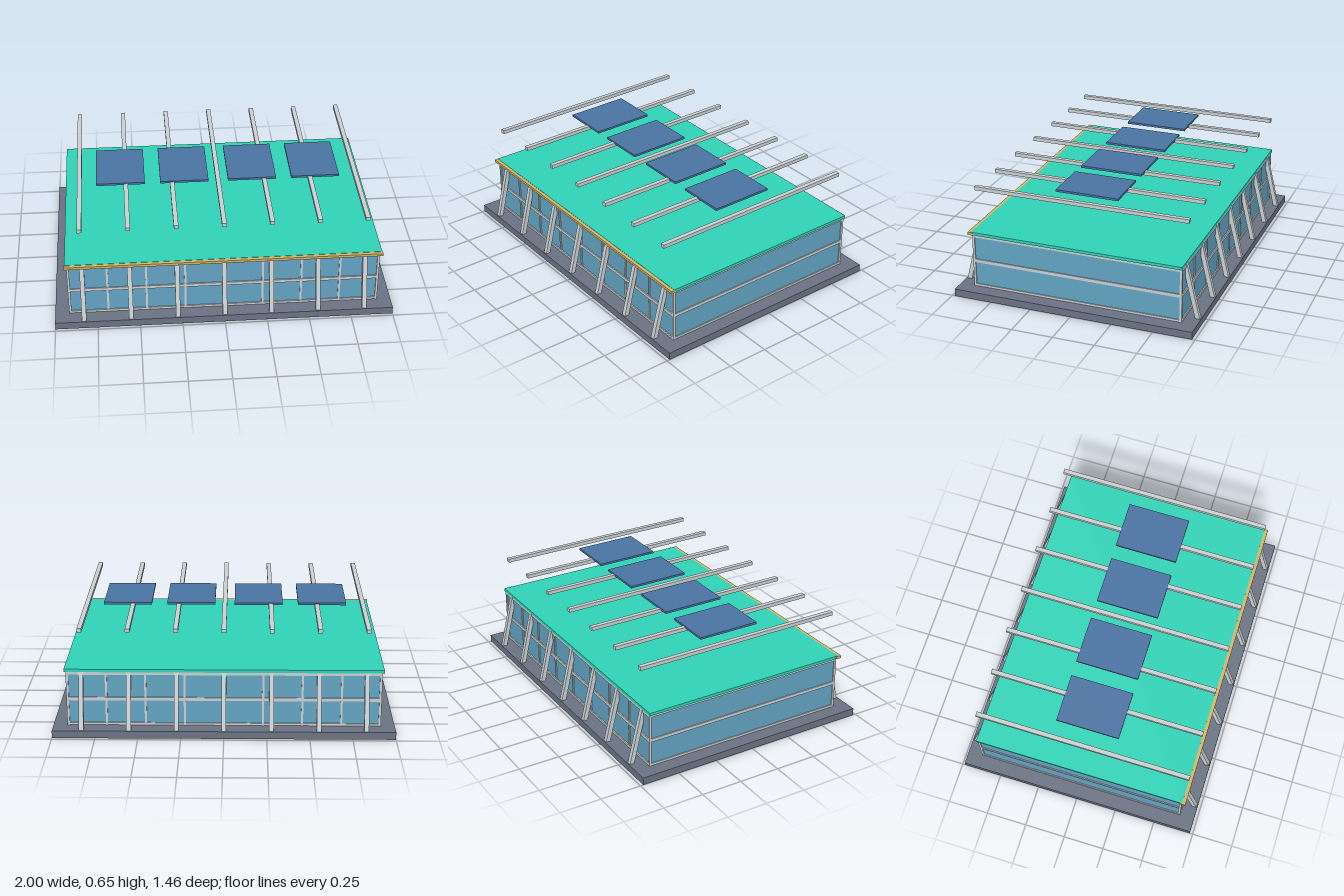
import * as THREE from 'three';

export function createModel() {
  const model = new THREE.Group();
  model.name = 'pavilion';

  const mat = (name, color) => {
    const m = new THREE.MeshStandardMaterial({ color });
    m.name = name;
    return m;
  };
  const slate = mat('slate', 0x6a7283);
  const glass = mat('glass', 0x62a2c1);
  const metal = mat('light metal', 0xc8ced1);
  const teal = mat('teal roof', 0x2fd2b6);
  const gold = mat('gold trim', 0xd0b466);
  const navy = mat('solar blue', 0x4a72a1);

  // Box given by its size and centre
  const box = (name, material, w, h, d, x, y, z, parent = model) => {
    const mesh = new THREE.Mesh(new THREE.BoxGeometry(w, h, d), material);
    mesh.name = name;
    mesh.position.set(x, y, z);
    parent.add(mesh);
    return mesh;
  };
  const group = (name) => {
    const g = new THREE.Group();
    g.name = name;
    model.add(g);
    return g;
  };

  // Plinth, glazed hall, roof and front fascia
  box('plinth', slate, 2, 0.045, 1.464, 0, 0.0225, 0);
  box('glazing', glass, 1.824, 0.335, 1.272, 0, 0.2125, 0);
  box('roof', teal, 1.856, 0.018, 1.29, 0, 0.387, 0);
  box('fascia', gold, 1.864, 0.016, 0.032, 0, 0.386, 0.65);

  // Window frames: rails on four sides, mullions on front and back
  const frames = group('windowFrames');
  const rails = [[0.054, 0.014], [0.211, 0.02], [0.37, 0.018]];
  for (const s of [-1, 1]) {
    for (const [y, h] of rails) {
      box('longRail', metal, 1.836, h, 0.012, 0, y, s * 0.637, frames);
      box('sideRail', metal, 0.012, h, 1.286, s * 0.912, y, 0, frames);
    }
    for (let i = -3; i <= 3; i++) {
      box('mullion', metal, 0.012, 0.332, 0.011, i * 0.2285, 0.211, s * 0.637, frames);
    }
    for (const t of [-1, 1]) {
      box('cornerPost', metal, 0.014, 0.334, 0.014, s * 0.911, 0.212, t * 0.636, frames);
    }
  }

  // Leaning struts and the floating beams above the roof
  const struts = group('struts');
  const beams = group('roofBeams');
  for (let i = -3; i <= 3; i++) {
    const x = i * 0.2765;
    for (const s of [-1, 1]) {
      const strut = box('strut', metal, 0.027, 0.345, 0.027, x, 0.207, s * 0.672, struts);
      strut.rotation.x = -s * Math.atan(0.244);
    }
    box('roofBeam', metal, 0.027, 0.023, 1.306, x, 0.6365, 0, beams);
  }

  // Solar panels resting on the beams
  const panels = group('solarPanels');
  for (const x of [-0.584, -0.203, 0.203, 0.584]) {
    box('solarPanel', navy, 0.289, 0.013, 0.383, x, 0.6465, 0, panels);
  }

  return model;
}
